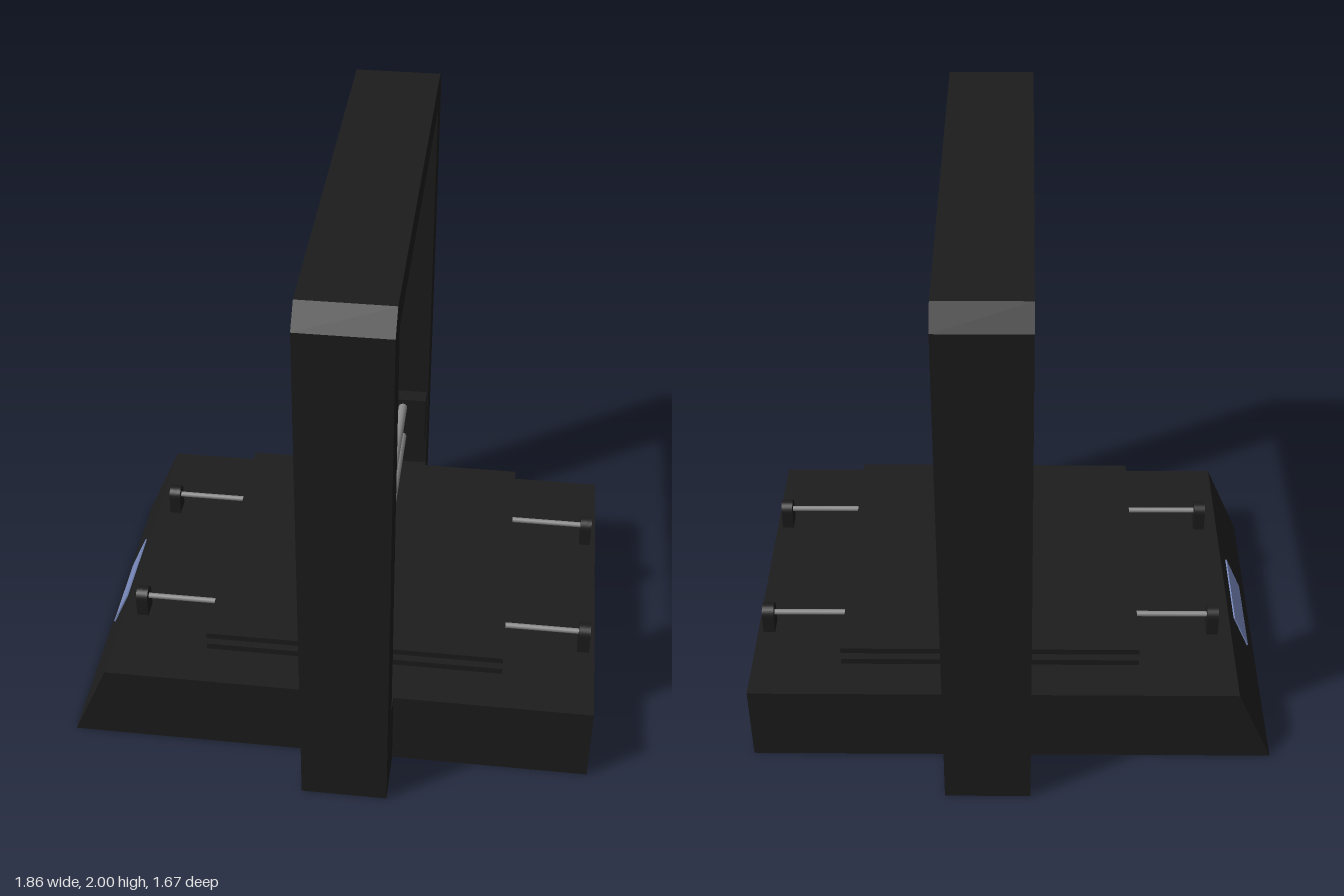
import * as THREE from 'three';

const paint = (color, extra = {}) => new THREE.MeshStandardMaterial({ color, ...extra });

export function createModel() {
  const group = new THREE.Group();
  const black = paint(0x1c1c1c);
  const steel = paint(0x888888);
  const blue = paint(0x7788bb);

  const add = (name, geometry, material = black) => {
    const mesh = new THREE.Mesh(geometry, material);
    mesh.name = name;
    group.add(mesh);
    return mesh;
  };
  // box given by its limits on each axis
  const box = (name, [x0, x1], [y0, y1], [z0, z1], material) =>
    add(name, new THREE.BoxGeometry(x1 - x0, y1 - y0, z1 - z0), material)
      .position.set((x0 + x1) / 2, (y0 + y1) / 2, (z0 + z1) / 2);
  // outline drawn in z (across) and y, extruded along x
  const extrudeX = (shape, x, depth) =>
    new THREE.ExtrudeGeometry(shape, { depth, bevelEnabled: false, curveSegments: 12 })
      .rotateY(Math.PI / 2).translate(x, 0, 0);

  // base: thin shell, open below, with a sloping control side
  const profile = [[-0.93, 0], [-0.8, 0.3], [0.925, 0.3], [0.925, 0]];
  const corners = [0.64, -0.64].flatMap(z => profile.map(([x, y]) => [x, y, z])).flat();
  const shell = new THREE.BufferGeometry();
  shell.setAttribute('position', new THREE.Float32BufferAttribute(corners, 3));
  const quads = [[0, 3, 2, 1], [4, 5, 6, 7], [0, 1, 5, 4], [1, 2, 6, 5], [2, 3, 7, 6]];
  shell.setIndex(quads.flatMap(([a, b, c, d]) => [a, b, c, a, c, d]));
  const baseGeometry = shell.toNonIndexed();
  baseGeometry.computeVertexNormals();
  add('base', baseGeometry, paint(0x1c1c1c, { side: THREE.DoubleSide }));

  // display set into the slope
  const display = add('display', new THREE.BoxGeometry(0.01, 0.152, 0.332), blue);
  display.position.set(-0.861, 0.16, 0);
  display.rotation.z = -Math.atan2(0.13, 0.3);

  // portal frame with chamfered top corners and feet against the base
  const half = [[0.636, 0], [0.835, 0], [0.835, 1.93], [0.77, 2]];
  const inner = [[0.705, 1.89], [0.705, 0.3], [0.636, 0.3]];
  const flip = points => points.map(([z, y]) => [-z, y]).reverse();
  const outline = [...half, ...flip(half), ...flip(inner), ...inner];
  const frameShape = new THREE.Shape(outline.map(([z, y]) => new THREE.Vector2(z, y)));
  add('portalFrame', extrudeX(frameShape, -0.07, 0.3));

  // lift carriages on the posts and the two cross rods between them
  for (const side of [1, -1]) {
    const z = [side * 0.642, side * 0.71].sort((a, b) => a - b);
    box('liftCarriage', [-0.065, 0.225], [0.443, 0.655], z);
  }
  for (const y of [0.475, 0.619]) {
    add('crossRod', new THREE.CylinderGeometry(0.017, 0.017, 1.3, 16).rotateX(Math.PI / 2), steel)
      .position.set(0.135, y, 0);
  }

  // bed: build plate above its carrier
  box('buildPlate', [-0.45, 0.6], [0.396, 0.418], [-0.535, 0.522]);
  box('bedCarrier', [-0.45, 0.6], [0.345, 0.368], [-0.535, 0.522]);

  // bed rods with round-topped holders
  const holder = new THREE.Shape();
  holder.moveTo(-0.034, 0.3);
  holder.lineTo(0.034, 0.3);
  holder.lineTo(0.034, 0.37);
  holder.absarc(0, 0.37, 0.034, 0, Math.PI);
  holder.closePath();
  for (const z of [-0.295, 0.3]) {
    add('bedRod', new THREE.CylinderGeometry(0.01, 0.01, 1.61, 16).rotateZ(Math.PI / 2), steel)
      .position.set(0.077, 0.37, z);
    for (const x of [-0.75, 0.863]) {
      add('rodHolder', extrudeX(holder, x, 0.042)).position.z = z;
    }
  }
  return group;
}
